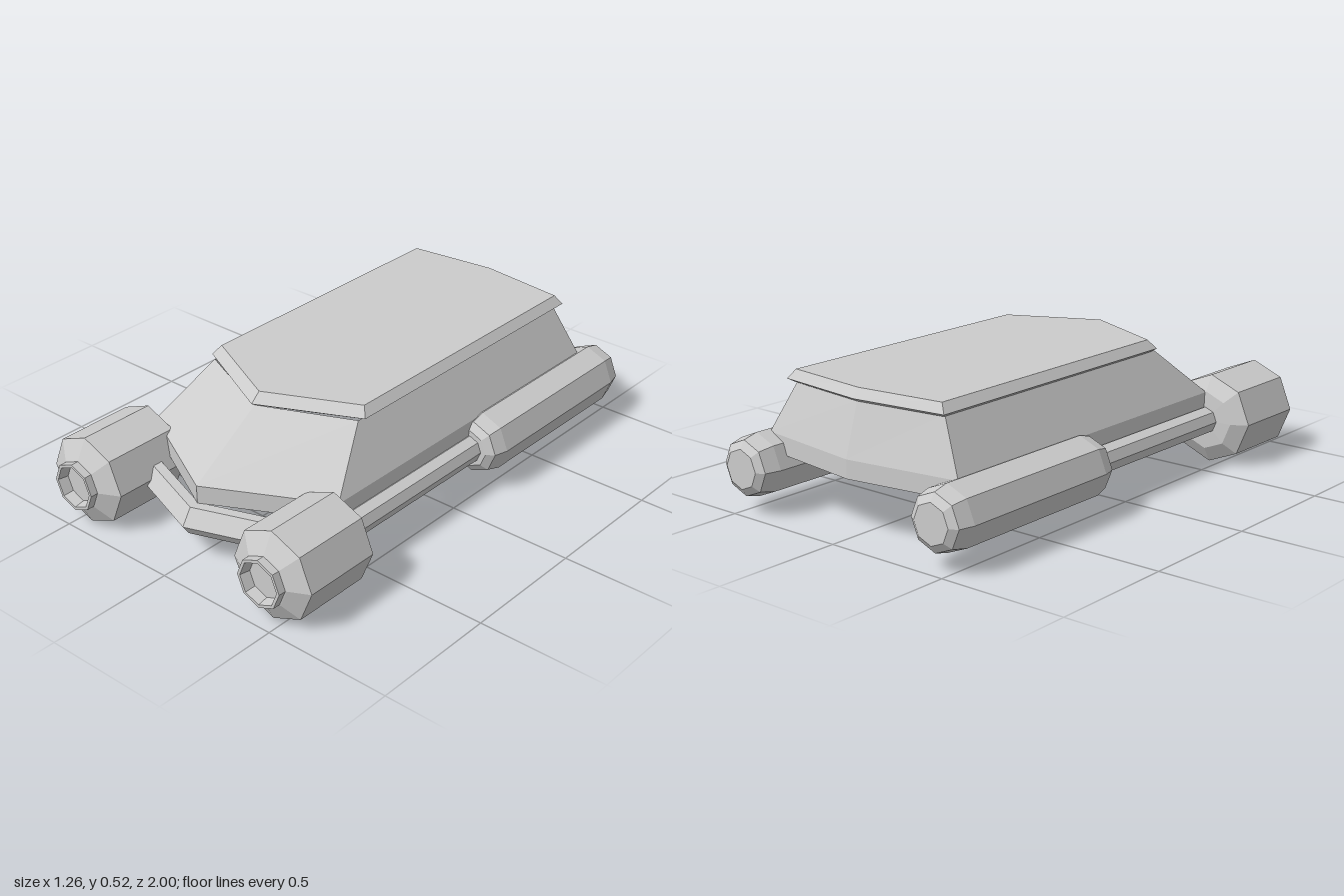
import * as THREE from 'three';

const material = new THREE.MeshStandardMaterial({ color: 0xcccccc, flatShading: true });
const thinMaterial = new THREE.MeshStandardMaterial({ color: 0xcccccc, flatShading: true, side: THREE.DoubleSide });

// Height of the axis shared by rails, engines and front pods, and its distance from the middle
const AXIS_Y = 0.18;
const AXIS_X = 0.455;

// Six-cornered outline with a pointed nose and a shallow pointed tail
function outline(y, x, frontTip, frontCorner, backCorner, backTip) {
  return [
    [0, y, frontTip], [x, y, frontCorner], [x, y, backCorner],
    [0, y, backTip], [-x, y, backCorner], [-x, y, frontCorner],
  ];
}

// Skin a stack of rings with the same number of points; optionally close the ends
function loft(rings, capped) {
  const n = rings[0].length;
  const index = [];
  for (let r = 0; r < rings.length - 1; r++) {
    for (let i = 0; i < n; i++) {
      const a = r * n + i;
      const b = r * n + (i + 1) % n;
      index.push(a, b, b + n, a, b + n, a + n);
    }
  }
  if (capped) {
    const last = (rings.length - 1) * n;
    for (let i = 1; i < n - 1; i++) {
      index.push(0, i + 1, i);
      index.push(last, last + i, last + i + 1);
    }
  }
  const geometry = new THREE.BufferGeometry();
  geometry.setAttribute('position', new THREE.Float32BufferAttribute(rings.flat(2), 3));
  geometry.setIndex(index);
  const faceted = geometry.toNonIndexed();
  faceted.computeVertexNormals();
  return faceted;
}

// Eight-sided turned part along z, from [radius, z] pairs running back to front
function turned(profile) {
  const points = profile.map(([r, z]) => new THREE.Vector2(r, z));
  return new THREE.LatheGeometry(points, 8).rotateX(Math.PI / 2);
}

export function createModel() {
  const model = new THREE.Group();
  const add = (name, geometry, mat = material) => {
    const mesh = new THREE.Mesh(geometry, mat);
    mesh.name = name;
    model.add(mesh);
    return mesh;
  };

  // Hollow cabin: upright skirt, then walls leaning in to the roof
  add('cabinShell', loft([
    outline(0.22, 0.45, 0.825, 0.59, -0.86, -0.925),
    outline(0.29, 0.45, 0.825, 0.59, -0.86, -0.925),
    outline(0.485, 0.35, 0.525, 0.37, -0.81, -0.865),
  ], false), thinMaterial);

  // Roof slab with bevelled rim
  add('roof', loft([
    outline(0.482, 0.355, 0.52, 0.345, -0.82, -0.865),
    outline(0.495, 0.373, 0.54, 0.36, -0.84, -0.885),
    outline(0.53, 0.347, 0.5, 0.335, -0.82, -0.86),
  ], true));

  // Chevron bumper bar between the front pods
  const section = [[0.90, 0.157], [0.875, 0.12], [0.825, 0.12], [0.80, 0.157], [0.82, 0.22], [0.86, 0.22]];
  add('bumper', loft([-0.4, 0, 0.4].map((x) =>
    section.map(([z, y]) => [x, y, z - 0.36 * Math.abs(x)])), true));

  // Side rails, rear engines and front pods
  const rail = turned([[0.053, -0.17], [0.053, 0.62]]);
  const engine = turned([
    [0, -1], [0.075, -1], [0.105, -0.98], [0.12, -0.92],
    [0.12, -0.22], [0.105, -0.165], [0.075, -0.145], [0, -0.145],
  ]);
  const pod = turned([
    [0, 0.58], [0.06, 0.58], [0.115, 0.583], [0.175, 0.62], [0.175, 0.93], [0.1, 0.968],
    [0.095, 0.97], [0.095, 1], [0.083, 1], [0.075, 0.96], [0, 0.96],
  ]);
  for (const [side, sign] of [['left', 1], ['right', -1]]) {
    for (const [part, geometry] of [['Rail', rail], ['Engine', engine], ['FrontPod', pod]]) {
      add(side + part, geometry).position.set(sign * AXIS_X, AXIS_Y, 0);
    }
  }

  return model;
}
